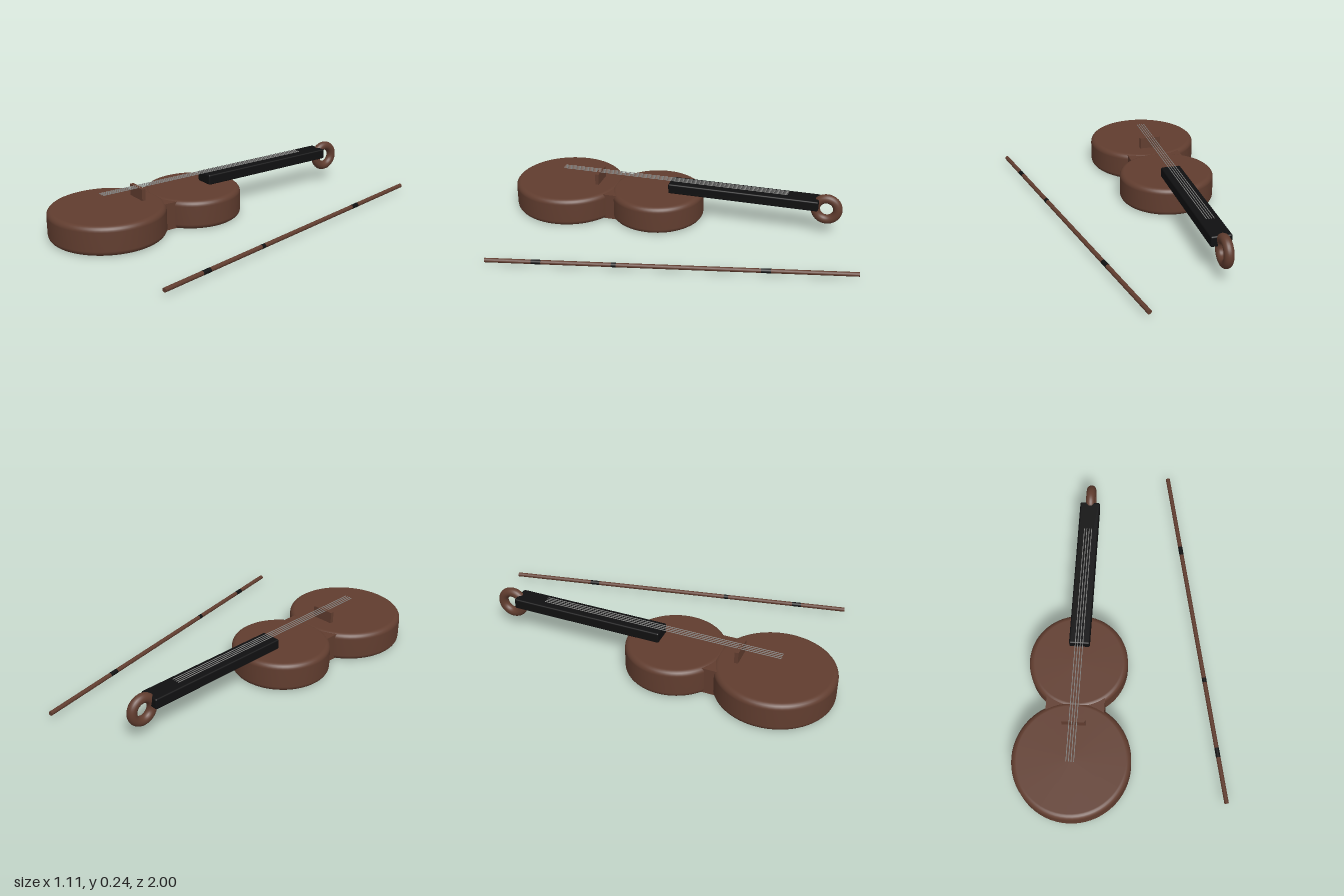
import * as THREE from 'three';
import { RoundedBoxGeometry } from 'three/addons/geometries/RoundedBoxGeometry.js';

const CX = -0.256; // centre line of the instrument

function material(name, color) {
  const m = new THREE.MeshStandardMaterial({ color });
  m.name = name;
  return m;
}

// Solid disc with rounded rims, standing on y = 0
function boutGeometry(radius, height, bevel) {
  const points = [new THREE.Vector2(0, 0)];
  for (const [cy, start] of [[bevel, -Math.PI / 2], [height - bevel, 0]]) {
    for (let i = 0; i <= 6; i++) {
      const a = start + (i / 6) * Math.PI / 2;
      points.push(new THREE.Vector2(radius - bevel + Math.cos(a) * bevel, cy + Math.sin(a) * bevel));
    }
  }
  points.push(new THREE.Vector2(0, height));
  return new THREE.LatheGeometry(points, 64);
}

export function createModel() {
  const group = new THREE.Group();
  const wood = material('brown wood', 0x613d2f);
  const ebony = material('black ebony', 0x101011);
  const steel = material('grey steel', 0x8c8c8a);

  const add = (name, geometry, mat, x, y, z, parent = group) => {
    const mesh = new THREE.Mesh(geometry, mat);
    mesh.name = name;
    mesh.position.set(x, y, z);
    parent.add(mesh);
    return mesh;
  };

  // Body: two round bouts joined by a waist
  add('lowerBout', boutGeometry(0.304, 0.155, 0.028), wood, CX, 0, 0.694);
  add('upperBout', boutGeometry(0.258, 0.155, 0.028), wood, CX, 0, 0.172);
  add('waist', new THREE.BoxGeometry(0.302, 0.145, 0.2), wood, CX, 0.078, 0.42);

  // Neck with fingerboard, and the ring scroll at its end
  add('neck', new RoundedBoxGeometry(0.108, 0.056, 0.826, 3, 0.008), ebony, CX, 0.185, -0.316);
  const scroll = add('scroll', new THREE.TorusGeometry(0.06, 0.025, 20, 48), wood, CX, 0.155, -0.77);
  scroll.rotation.y = Math.PI / 2;

  // Bridge and four strings
  add('bridge', new THREE.BoxGeometry(0.12, 0.062, 0.02), wood, CX, 0.191, 0.51);
  const stringGeometry = new THREE.CylinderGeometry(0.002, 0.002, 1.285, 8).rotateX(Math.PI / 2);
  for (let i = 0; i < 4; i++) {
    add('string', stringGeometry, steel, CX + (i - 1.5) * 0.013, 0.221, 0.08);
  }

  // Bow: a slender stick with dark bands
  const bow = new THREE.Group();
  bow.name = 'bow';
  const from = new THREE.Vector3(0.168, 0.033, -0.998);
  const to = new THREE.Vector3(0.543, 0.033, 0.853);
  const along = to.clone().sub(from);
  const length = along.length();
  bow.position.copy(from).lerp(to, 0.5);
  bow.quaternion.setFromUnitVectors(new THREE.Vector3(0, 1, 0), along.normalize());
  add('bowStick', new THREE.CylinderGeometry(0.0115, 0.0115, length, 16), wood, 0, 0, 0, bow);
  for (const [t, size] of [[0.245, 0.05], [0.65, 0.025], [0.86, 0.05]]) {
    add('bowBand', new THREE.CylinderGeometry(0.0119, 0.0119, size, 16), ebony, 0, (t - 0.5) * length, 0, bow);
  }
  group.add(bow);

  return group;
}
